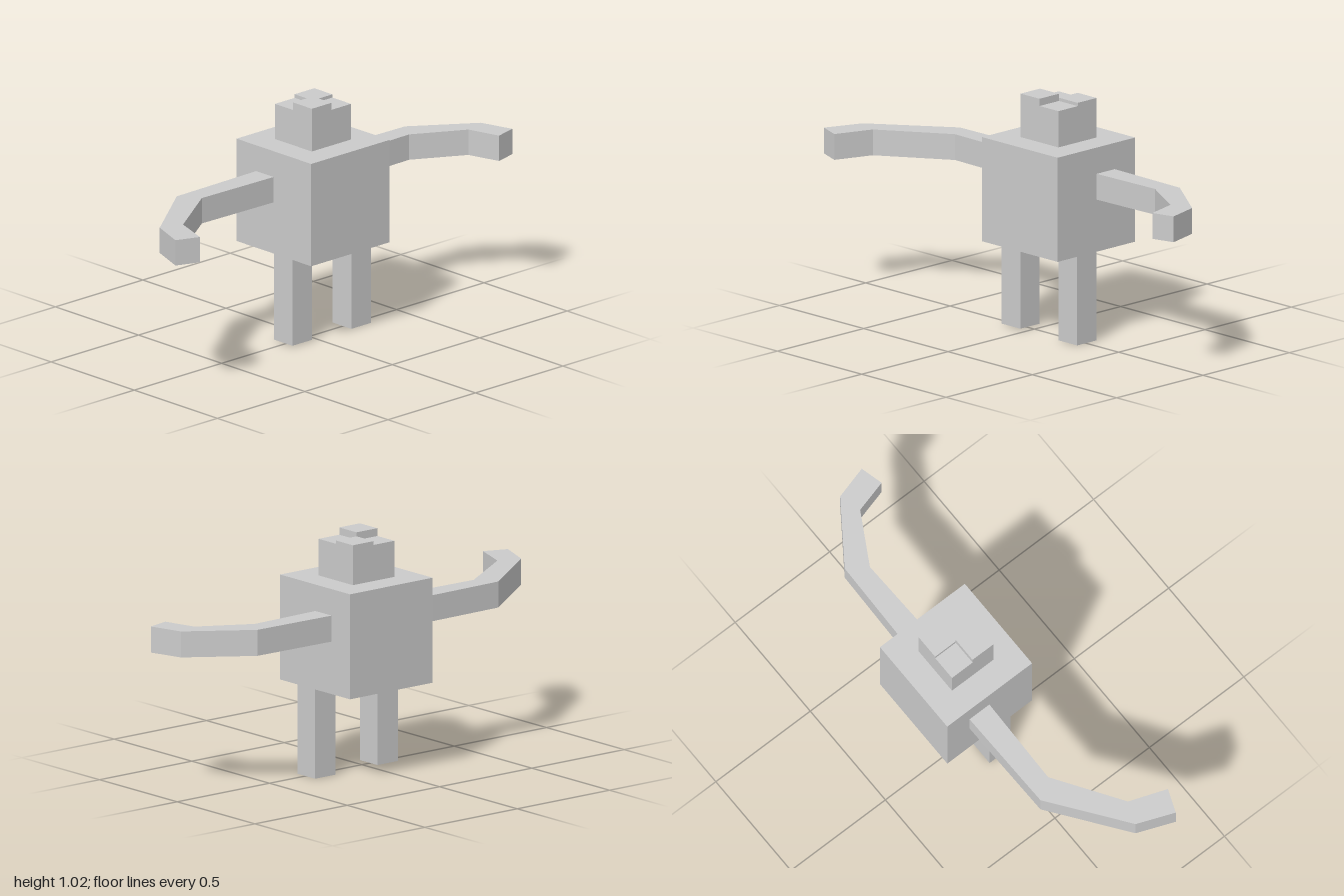
import * as THREE from 'three';

const material = new THREE.MeshStandardMaterial({ color: 0xcccccc, flatShading: true });

// Box given by its [min, max] extent on each axis
function block(name, [x0, x1], [y0, y1], [z0, z1]) {
  const mesh = new THREE.Mesh(new THREE.BoxGeometry(x1 - x0, y1 - y0, z1 - z0), material);
  mesh.name = name;
  mesh.position.set((x0 + x1) / 2, (y0 + y1) / 2, (z0 + z1) / 2);
  return mesh;
}

// Bent arm: a plan outline of [x, z] points raised from y = 0.605 to 0.716
function arm(name, outline) {
  const shape = new THREE.Shape(outline.map(([x, z]) => new THREE.Vector2(x, -z)));
  const geometry = new THREE.ExtrudeGeometry(shape, { depth: 0.111, bevelEnabled: false });
  geometry.rotateX(-Math.PI / 2);
  const mesh = new THREE.Mesh(geometry, material);
  mesh.name = name;
  mesh.position.y = 0.605;
  return mesh;
}

export function createModel() {
  const model = new THREE.Group();
  model.name = 'blockFigure';

  // Cubic body
  model.add(block('body', [-0.286, 0.163], [0.381, 0.829], [-0.305, 0.143]));

  // Legs, the front one a touch shorter
  model.add(block('frontLeg', [-0.062, 0.05], [0.005, 0.383], [0.032, 0.143]));
  model.add(block('backLeg', [-0.062, 0.05], [0, 0.383], [-0.305, -0.194]));

  // Head of four blocks with uneven tops
  const head = new THREE.Group();
  head.name = 'head';
  const left = [-0.063, 0.049], right = [-0.172, -0.063];
  const front = [-0.081, 0.031], back = [-0.193, -0.081];
  head.add(
    block('headFrontLeft', left, [0.829, 1.016], front),
    block('headFrontRight', right, [0.829, 0.983], front),
    block('headBackLeft', left, [0.829, 0.985], back),
    block('headBackRight', right, [0.829, 0.999], back),
  );
  model.add(head);

  // Arms, both curling towards +x
  model.add(arm('frontArm', [
    [-0.168, 0.14], [-0.16, 0.605], [0.083, 0.933], [0.245, 0.997],
    [0.284, 0.895], [0.12, 0.835], [-0.072, 0.545], [-0.063, 0.14],
  ]));
  model.add(arm('backArm', [
    [-0.168, -0.3], [-0.159, -0.7], [0.024, -0.96], [0.17, -1],
    [0.196, -0.9], [0.052, -0.862], [-0.073, -0.64], [-0.063, -0.3],
  ]));

  return model;
}
